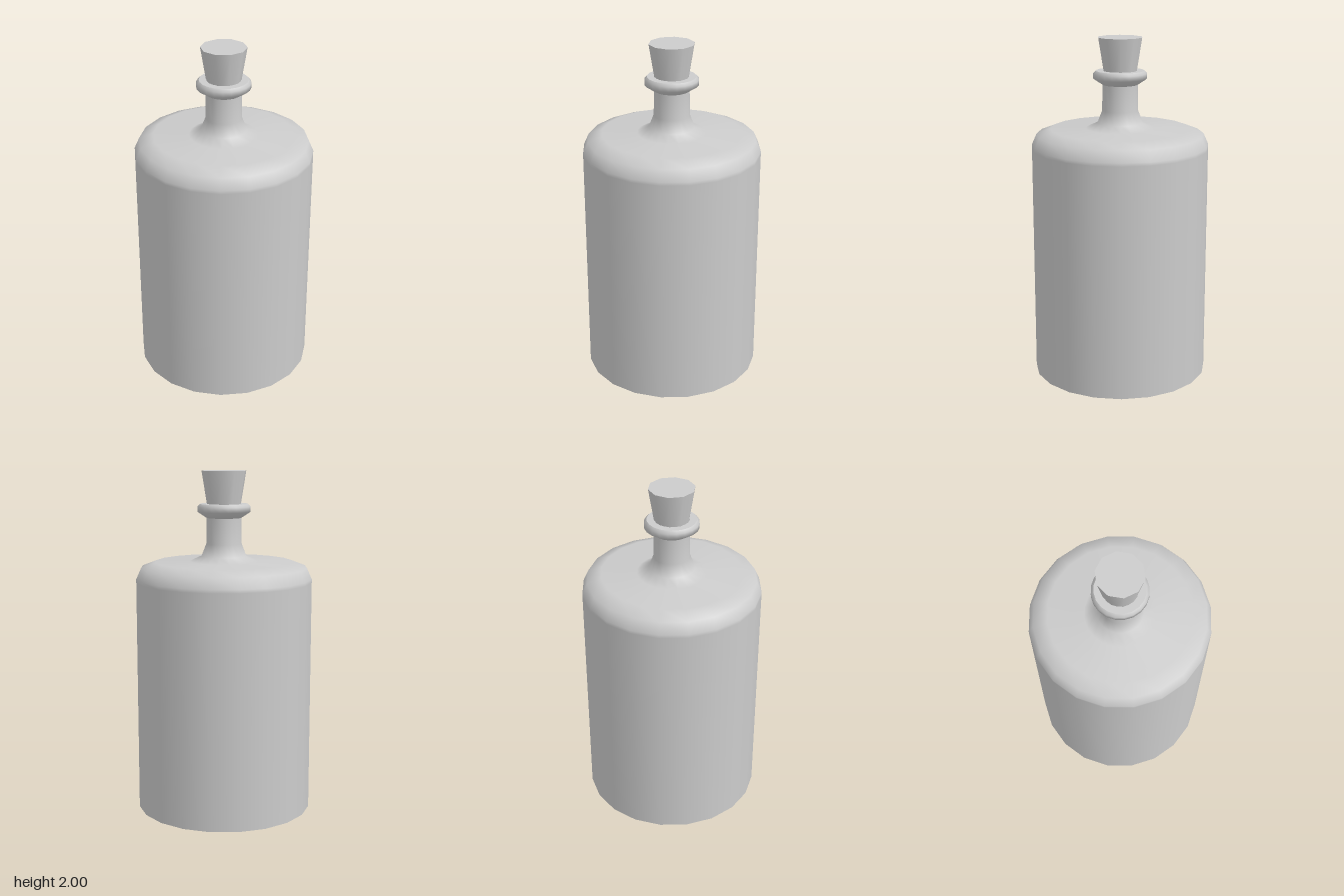
import * as THREE from 'three';

const SIDES = 20;

// Smooth surface of revolution, profile listed as [radius, height]
function lathe(name, profile, material) {
  const points = profile.map(([r, y]) => new THREE.Vector2(r, y));
  const mesh = new THREE.Mesh(new THREE.LatheGeometry(points, SIDES), material);
  mesh.name = name;
  return mesh;
}

export function createModel() {
  const group = new THREE.Group();
  group.name = 'stopperedBottle';
  const grey = new THREE.MeshStandardMaterial({ color: 0xcccccc });

  // Flat underside
  group.add(lathe('base', [[0, 0], [0.515, 0]], grey));

  // Straight wall, rounded shoulder and flared neck
  group.add(lathe('body', [
    [0.515, 0], [0.515, 1.36], [0.515, 1.38], [0.487, 1.443], [0.405, 1.475],
    [0.2, 1.477], [0.132, 1.508], [0.104, 1.58], [0.102, 1.73],
  ], grey));

  // Rolled lip around the mouth
  group.add(lathe('lip', [
    [0.102, 1.73], [0.155, 1.765], [0.155, 1.795], [0.14, 1.81],
  ], grey));
  group.add(lathe('mouthRim', [[0.14, 1.81], [0.098, 1.81]], grey));
  group.add(lathe('mouthInside', [[0.098, 1.81], [0.09, 1.7]], grey));

  // Tapered ten-sided stopper, pushed into the mouth
  const stopper = new THREE.Mesh(new THREE.CylinderGeometry(0.131, 0.085, 0.28, 10), grey);
  stopper.name = 'stopper';
  stopper.rotation.y = Math.PI / 2;
  stopper.position.y = 1.86;
  group.add(stopper);

  return group;
}
